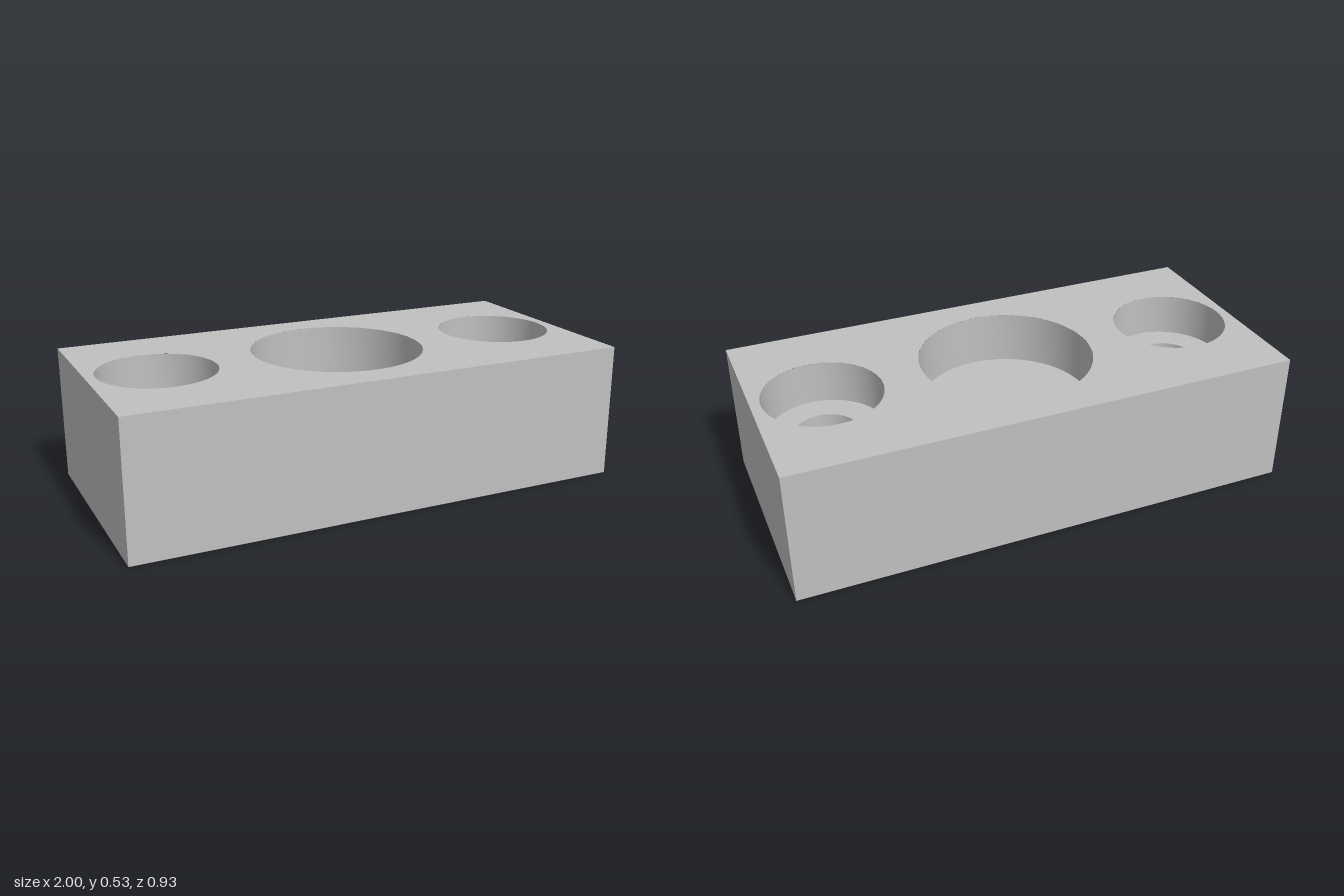
import * as THREE from 'three';
import { toCreasedNormals } from 'three/addons/utils/BufferGeometryUtils.js';

const W = 2, H = 0.533, D = 0.934;          // block size
const SEG = 64;                             // segments around each bore
const BOLT_X = 0.733, BOLT_R = 0.122;       // through holes
const SINK_R = 0.228, SINK_DEPTH = 0.17;    // counterbores
const POCKET_R = 0.341, POCKET_DEPTH = 0.21; // blind centre pocket

export function createModel() {
  const group = new THREE.Group();
  const metal = new THREE.MeshStandardMaterial({ color: 0xc0c0c0 });
  metal.name = 'plainGrey';

  const add = (name, geometry, x = 0, y = 0) => {
    const mesh = new THREE.Mesh(geometry, metal);
    mesh.name = name;
    mesh.position.set(x, y, 0);
    group.add(mesh);
  };

  // Rectangular face pierced by round holes given as [x, radius]
  const piercedFace = (holes) => {
    const shape = new THREE.Shape([
      new THREE.Vector2(-W / 2, -D / 2), new THREE.Vector2(W / 2, -D / 2),
      new THREE.Vector2(W / 2, D / 2), new THREE.Vector2(-W / 2, D / 2),
    ]);
    for (const [x, r] of holes) {
      shape.holes.push(new THREE.Path().absarc(x, 0, r, 0, Math.PI * 2, true));
    }
    return new THREE.ShapeGeometry(shape, SEG);
  };

  // Inward-facing bore, profile listed from the top down as [radius, y]
  const bore = (profile) => toCreasedNormals(
    new THREE.LatheGeometry(profile.map(([r, y]) => new THREE.Vector2(r, y)), SEG), 0.6);

  // Four outer walls: a box without its top and bottom
  const walls = new THREE.BoxGeometry(W, H, D);
  const index = Array.from(walls.index.array);
  walls.setIndex([...index.slice(0, 12), ...index.slice(24)]);
  walls.clearGroups();
  add('outerWalls', walls, 0, H / 2);

  // Top and bottom faces
  add('topFace', piercedFace([[-BOLT_X, SINK_R], [0, POCKET_R], [BOLT_X, SINK_R]])
    .rotateX(-Math.PI / 2), 0, H);
  add('bottomFace', piercedFace([[-BOLT_X, BOLT_R], [BOLT_X, BOLT_R]])
    .rotateX(Math.PI / 2));

  // Blind pocket in the middle
  add('centrePocket', bore([[POCKET_R, H], [POCKET_R, H - POCKET_DEPTH], [0, H - POCKET_DEPTH]]));

  // Counterbored bolt holes at both ends
  const sinkFloor = H - SINK_DEPTH;
  for (const [name, side] of [['leftBoltHole', 1], ['rightBoltHole', -1]]) {
    add(name, bore([[SINK_R, H], [SINK_R, sinkFloor], [BOLT_R, sinkFloor], [BOLT_R, 0]]),
      side * BOLT_X);
  }
  return group;
}
